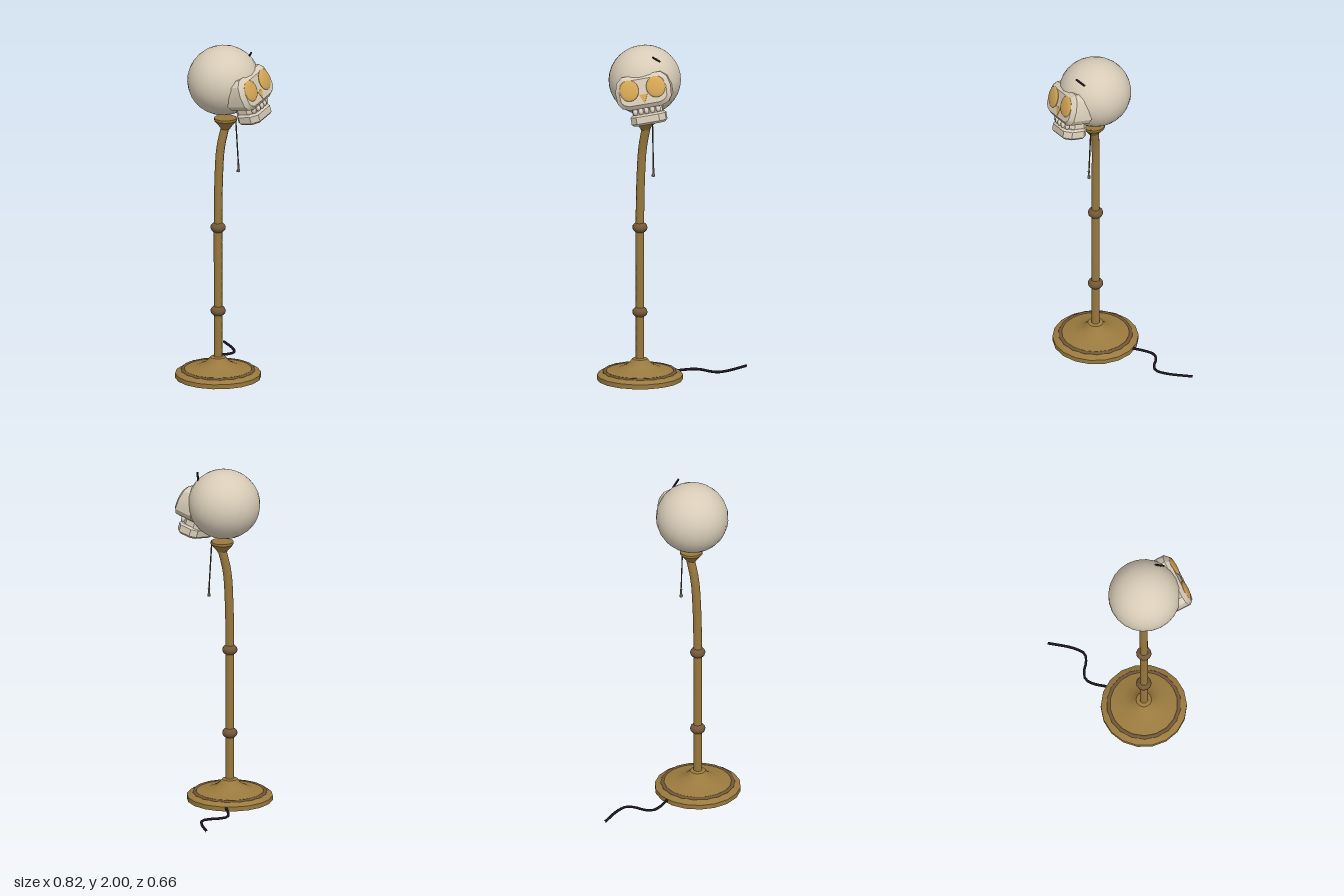
import * as THREE from 'three';
import { toCreasedNormals } from 'three/addons/utils/BufferGeometryUtils.js';

const mat = (name, color) => {
  const m = new THREE.MeshStandardMaterial({ color });
  m.name = name;
  return m;
};
const v3 = (a) => new THREE.Vector3(...a);

export function createModel() {
  const brass = mat('brass', 0x9a7a3e);
  const bronze = mat('bronze', 0x745839);
  const bone = mat('bone', 0xd8ccb7);
  const tooth = mat('tooth', 0xe0d6c4);
  const amber = mat('amber', 0xd6a856);
  const black = mat('black cord', 0x1c1620);
  const chainMat = mat('chain', 0x5a4a38);
  const pullMat = mat('pull', 0x9a8d7c);

  const lamp = new THREE.Group();
  lamp.name = 'skullLamp';
  const PX = -0.162, PZ = 0.048;

  const add = (parent, name, geo, material, pos = [0, 0, 0]) => {
    const m = new THREE.Mesh(geo, material);
    m.name = name;
    m.position.set(...pos);
    parent.add(m);
    return m;
  };
  const lathe = (pts, sides) => toCreasedNormals(
    new THREE.LatheGeometry(pts.map((p) => new THREE.Vector2(...p)), sides), 0.5);
  const tube = (pts, segs, r, sides) => new THREE.TubeGeometry(
    new THREE.CatmullRomCurve3(pts.map(v3)), segs, r, sides);
  // Straight rod between two points
  const rod = (parent, name, a, b, r, material) => {
    const A = v3(a), B = v3(b);
    const m = add(parent, name, new THREE.CylinderGeometry(r, r, A.distanceTo(B), 6), material);
    m.position.copy(A).add(B).multiplyScalar(0.5);
    m.quaternion.setFromUnitVectors(new THREE.Vector3(0, 1, 0), B.sub(A).normalize());
    return m;
  };
  // Bevelled plate from a half outline mirrored in x
  const plate = (half, depth, bevel) => {
    const pts = [...half, ...half.map(([x, y]) => [-x, y]).reverse()];
    const shape = new THREE.Shape(pts.map((p) => new THREE.Vector2(...p)));
    return toCreasedNormals(new THREE.ExtrudeGeometry(shape, {
      depth, bevelEnabled: bevel > 0, bevelSize: bevel, bevelOffset: -bevel,
      bevelThickness: bevel, bevelSegments: 1,
    }), 0.45);
  };

  // Round stepped foot
  add(lamp, 'base', lathe([[0, 0.003], [0.25, 0.003], [0.25, 0.03], [0.225, 0.046], [0.19, 0.055],
    [0.13, 0.066], [0.085, 0.085], [0.06, 0.105], [0.045, 0.125], [0.02, 0.13]], 18), brass, [PX, 0, PZ]);
  const ring = add(lamp, 'baseRing', new THREE.TorusGeometry(0.205, 0.014, 6, 18), bronze, [PX, 0.044, PZ]);
  ring.rotation.x = -Math.PI / 2;

  // Pole that leans over near the top
  add(lamp, 'pole', tube([[PX, 0.1, PZ], [PX, 0.55, PZ], [PX, 0.95, PZ], [-0.157, 1.2, 0.049],
    [-0.145, 1.39, 0.054], [-0.118, 1.53, 0.072]], 24, 0.025, 8), brass);
  for (const y of [0.405, 0.91]) {
    const knot = add(lamp, 'poleKnot', new THREE.SphereGeometry(0.045, 12, 8), bronze, [PX, y, PZ]);
    knot.scale.y = 0.74;
  }

  // Cup below the head
  add(lamp, 'cup', lathe([[0, 0], [0.026, 0], [0.038, 0.018], [0.058, 0.04], [0.067, 0.052],
    [0.067, 0.066], [0, 0.066]], 14), brass, [-0.126, 1.504, 0.075]);

  // Pull chain
  rod(lamp, 'pullChain', [-0.078, 1.572, 0.112], [-0.07, 1.28, 0.127], 0.004, chainMat);
  add(lamp, 'pullHandle', lathe([[0, 0], [0.01, 0], [0.01, 0.012], [0.005, 0.02], [0.005, 0.038],
    [0.008, 0.048], [0, 0.052]], 8), pullMat, [-0.07, 1.238, 0.127]);

  // Power cord trailing on the floor
  const cord = [[-0.02, 0.025, -0.06], [0.03, 0.02, -0.115], [0.065, 0.014, -0.165], [0.115, 0.01, -0.206],
    [0.165, 0.01, -0.197], [0.215, 0.01, -0.165], [0.265, 0.01, -0.155], [0.32, 0.01, -0.202], [0.403, 0.01, -0.33]];
  add(lamp, 'powerCord', tube(cord, 22, 0.008, 6), black);

  // Head: round cranium, turned, tipped up and rolled
  const head = new THREE.Group();
  head.name = 'head';
  head.position.set(-0.131, 1.798, 0.064);
  head.rotation.set(-0.175, 0.07, 0.19, 'YXZ');
  lamp.add(head);
  const cranium = add(head, 'cranium', new THREE.SphereGeometry(0.211, 24, 16), bone);
  cranium.scale.y = 0.965;

  // Cheek and brow block, its front leaning back towards the brow
  const face = plate([[0.115, 0.045], [0.148, 0.015], [0.163, -0.04], [0.158, -0.105], [0.135, -0.135],
    [0.095, -0.15]], 0.115, 0.024);
  const fp = face.attributes.position;
  for (let i = 0; i < fp.count; i++) {
    if (fp.getZ(i) > 0.05) fp.setZ(i, fp.getZ(i) - 0.15 * (fp.getY(i) + 0.1));
  }
  add(head, 'face', toCreasedNormals(face, 0.45), bone, [0, 0, 0.098]);

  // Upper gum and jaw, seen from below as chamfered blocks
  const slab = (name, w, back, front, y, h, bevel) => {
    const half = [[w * 0.65, -front], [w, -front + 0.04], [w, -back - 0.03], [w * 0.7, -back]];
    const m = add(head, name, plate(half, h - 2 * bevel, bevel), bone, [0, y + bevel, 0]);
    m.rotation.x = -Math.PI / 2;
  };
  slab('upperGum', 0.088, 0.075, 0.205, -0.19, 0.06, 0);
  slab('jaw', 0.102, 0.078, 0.226, -0.248, 0.064, 0.012);

  // Row of teeth
  for (let i = -2; i <= 2; i++) {
    const t = add(head, 'tooth', new THREE.SphereGeometry(0.015, 8, 6), tooth,
      [i * 0.034, -0.165, 0.217 - 0.003 * i * i]);
    t.scale.y = 1.4;
  }

  // Glowing eyes and nose
  for (const s of [-1, 1]) {
    const eye = add(head, 'eye', new THREE.SphereGeometry(0.06, 20, 12), amber, [s * 0.079, -0.036, 0.228]);
    eye.scale.set(0.95, 1.04, 0.22);
    eye.rotation.set(-0.15, s * 0.06, 0);
  }
  const nose = add(head, 'nose', plate([[0.024, 0.024], [0.001, -0.03]], 0.012, 0), amber, [0, -0.094, 0.226]);
  nose.rotation.x = -0.15;

  // Small dark peg on the crown
  rod(lamp, 'crownPeg', [-0.061, 1.972, 0.212], [-0.025, 1.938, 0.172], 0.006, black);

  return lamp;
}
